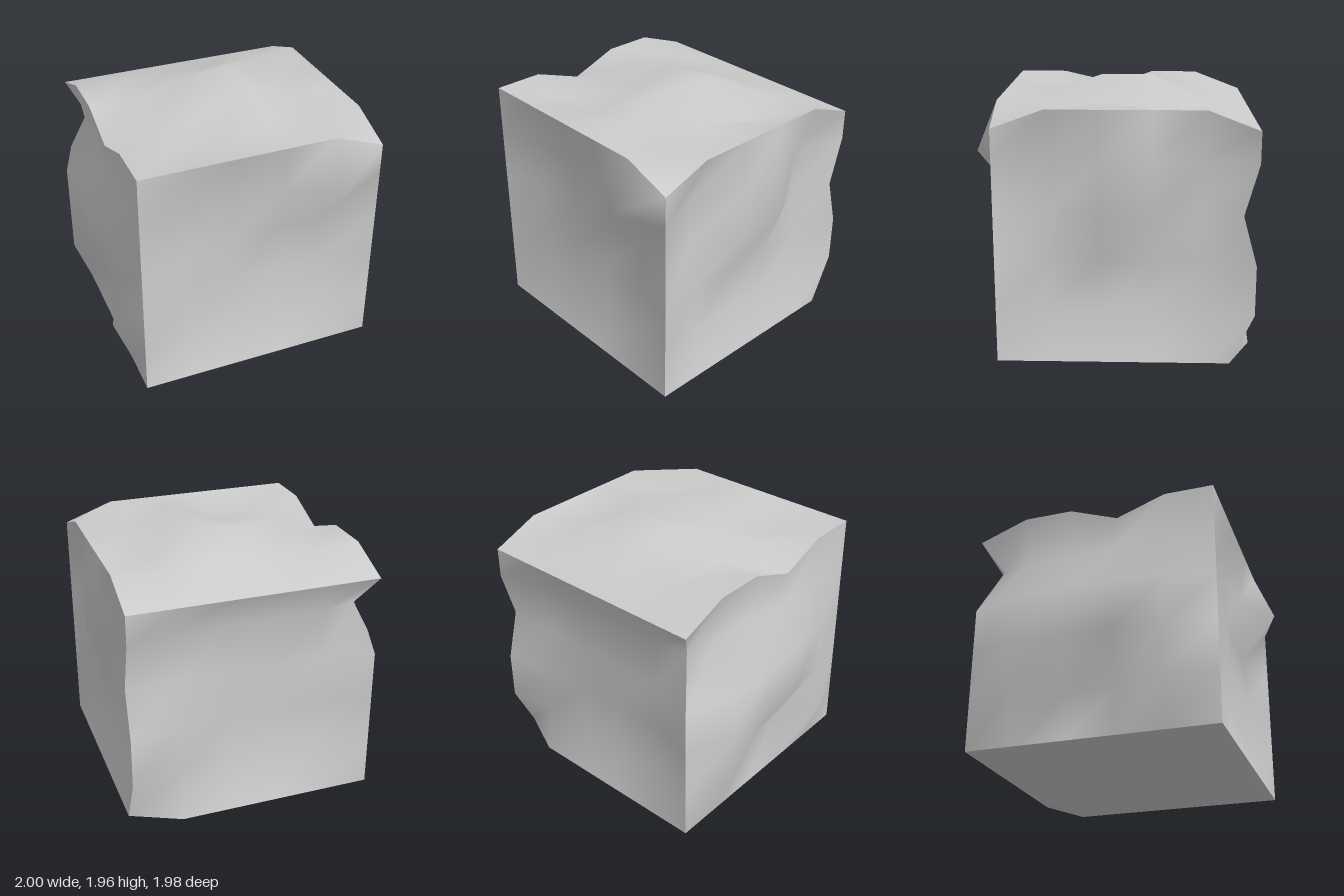
import * as THREE from 'three';

const N = 5, SIZE = 1.825, STEP = SIZE / N;
const LOW = new THREE.Vector3(-0.867, 0, -0.99); // low corner of the block

const within = (value, from, to) => value >= from && value <= to;
const inside = (u, v) => within(u, 1, N - 1) && within(v, 1, N - 1);

// Each rule gives the outward bump (+) or dent (-) at a grid corner of its face,
// counted in steps 0..N along the two axes of that face.
function rightRelief(y, z) {
  if (!inside(y, z)) return 0;
  if (y >= 3 && within(z, 2, 3)) return 0.043; // low swelling
  return y >= 3 ? -0.15 : -0.09; // deeper on both sides of it
}

function leftRelief(y, z) {
  if (y === 4 && z === 0) return -0.12;
  if (!inside(y, z)) return 0;
  if (y === 4) return z < 3 ? -0.06 : 0;
  if (y === 1) return within(z, 2, 3) ? -0.05 : 0.133; // hollow between two low knobs
  return z === 4 ? 0.085 : 0.133;
}

function topRelief(x, z) {
  if (z === 0) return -0.14; // back edge worn down
  if (x === 5 && z === 5) return -0.133; // chipped corner
  if (x === 0 && z === 3) return -0.135; // notch in the left edge
  if (!inside(x, z)) return 0;
  if (z === 1) return -0.03;
  if (z === 4) return x === 3 ? 0.015 : -0.06;
  if (x === 3) return 0.133; // ridge
  if (x === 2) return z === 2 ? 0.085 : 0;
  if (x === 4) return z === 2 ? -0.1 : 0;
  return -0.025;
}

function bottomRelief(x, z) {
  if (!inside(x, z)) return 0;
  if (x === 4) return z === 4 ? -0.155 : 0;
  return -0.07;
}

function frontRelief(x, y) {
  if (!inside(x, y)) return 0;
  if (x === 4 && y === 4) return 0.15; // knob
  if (x >= 3 && y === 3) return -0.14; // hollow below it
  return x === 3 && y === 4 ? -0.07 : -0.1;
}

function backRelief(x, y) {
  if (x === 5 && y === 0) return -0.17; // broken lower corner
  if (x === 5 && y === 3) return -0.1; // notch in the right edge
  if (x === 0 && y === 4) return -0.15; // notch in the left edge
  if (!inside(x, y)) return 0;
  return x === 4 && y < 3 ? -0.06 : -0.1;
}

export function createModel() {
  const group = new THREE.Group();
  group.name = 'roughBlock';

  // Separate vertices per box face keep the cube edges sharp and the faces smooth
  const geometry = new THREE.BoxGeometry(SIZE, SIZE, SIZE, N, N, N);
  geometry.translate(SIZE / 2 + LOW.x, SIZE / 2 + LOW.y, SIZE / 2 + LOW.z);
  const position = geometry.attributes.position;
  const point = new THREE.Vector3();

  // Corners shared by several faces follow all of their rules, so no gaps open
  for (let n = 0; n < position.count; n++) {
    point.fromBufferAttribute(position, n);
    const { x, y, z } = point.clone().sub(LOW).divideScalar(STEP).round();
    if (x === N) point.x += rightRelief(y, z);
    if (x === 0) point.x -= leftRelief(y, z);
    if (y === N) point.y += topRelief(x, z);
    if (y === 0) point.y -= bottomRelief(x, z);
    if (z === N) point.z += frontRelief(x, y);
    if (z === 0) point.z -= backRelief(x, y);
    position.setXYZ(n, point.x, point.y, point.z);
  }
  geometry.computeVertexNormals();

  const block = new THREE.Mesh(geometry, new THREE.MeshStandardMaterial({ color: 0xcccccc }));
  block.name = 'stoneBlock';
  group.add(block);
  return group;
}
